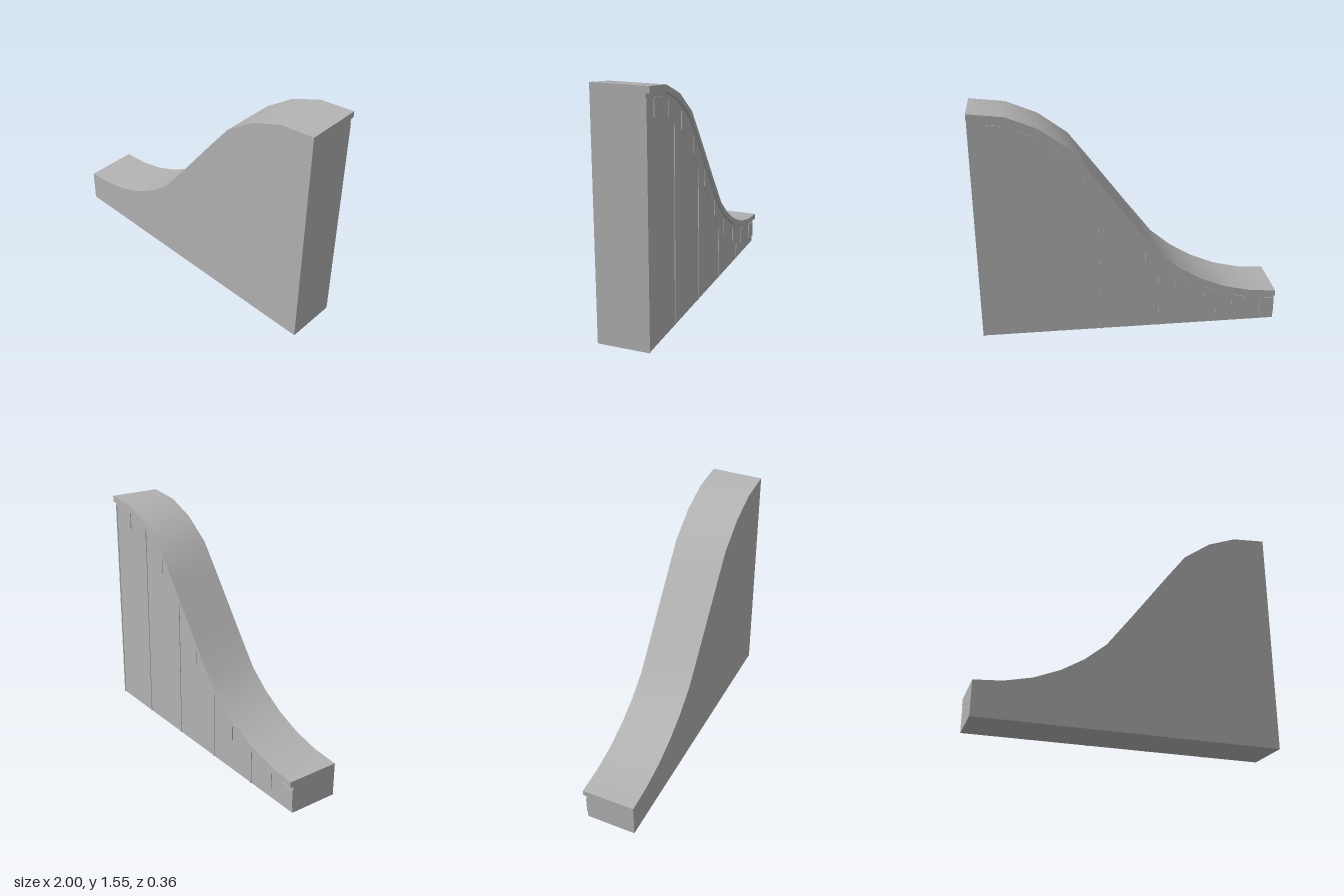
import * as THREE from 'three';
import { toCreasedNormals } from 'three/addons/utils/BufferGeometryUtils.js';

// Top edge of the sloping wall, from the low end to the high end
const PROFILE = [
  [-1, 0.225], [-0.82, 0.24], [-0.64, 0.283], [-0.47, 0.355], [-0.32, 0.447], [-0.18, 0.565],
  [0, 0.8], [0.25, 1.135], [0.38, 1.305], [0.57, 1.445], [0.77, 1.528], [1, 1.555],
];
const HALF_DEPTH = 0.178, WALL_BACK = -0.155, RELIEF_BACK = -0.16;

// Height of the top edge at any x
function topAt(x) {
  for (let i = 1; i < PROFILE.length; i++) {
    const [x0, y0] = PROFILE[i - 1], [x1, y1] = PROFILE[i];
    if (x <= x1) return y0 + (y1 - y0) * (x - x0) / (x1 - x0);
  }
  return PROFILE[PROFILE.length - 1][1];
}

export function createModel() {
  const group = new THREE.Group();
  const grey = new THREE.MeshStandardMaterial({ color: 0xb3b3b3 });
  grey.name = 'concreteGrey';

  // Extrude an outline from z0 to z1
  function slab(name, points, z0, z1) {
    const shape = new THREE.Shape(points.map(([x, y]) => new THREE.Vector2(x, y)));
    const geo = new THREE.ExtrudeGeometry(shape, { depth: z1 - z0, bevelEnabled: false });
    geo.translate(0, 0, z0);
    const mesh = new THREE.Mesh(toCreasedNormals(geo, 0.5), grey);
    mesh.name = name;
    group.add(mesh);
  }

  // Solid wall
  slab('wallBody', [[-1, 0], [1, 0], ...[...PROFILE].reverse()], WALL_BACK, HALF_DEPTH);

  // Overhanging coping strip that follows the curve on the back
  slab('copingLip', [...PROFILE.map(([x, y]) => [x, y - 0.04]), ...[...PROFILE].reverse()],
    -HALF_DEPTH, WALL_BACK);

  // Slanted raised panels below the lip
  for (let k = 0; k < 10; k++) {
    const a = -1 + 0.2 * k, b = a + 0.1, ya = topAt(a), yb = topAt(b);
    slab('raisedPanel', [[a, ya - 0.182], [b, yb - 0.178], [b, yb - 0.065], [a, ya - 0.065]],
      RELIEF_BACK, WALL_BACK);
  }

  // Thin vertical ribs dividing the back into bays
  for (const x of [-0.6, -0.2, 0.2, 0.6, 0.99]) {
    const w = x + 0.01;
    slab('verticalRib', [[x, 0], [w, 0], [w, topAt(w) - 0.066], [x, topAt(x) - 0.066]],
      RELIEF_BACK + 0.0005, WALL_BACK);
  }

  return group;
}
